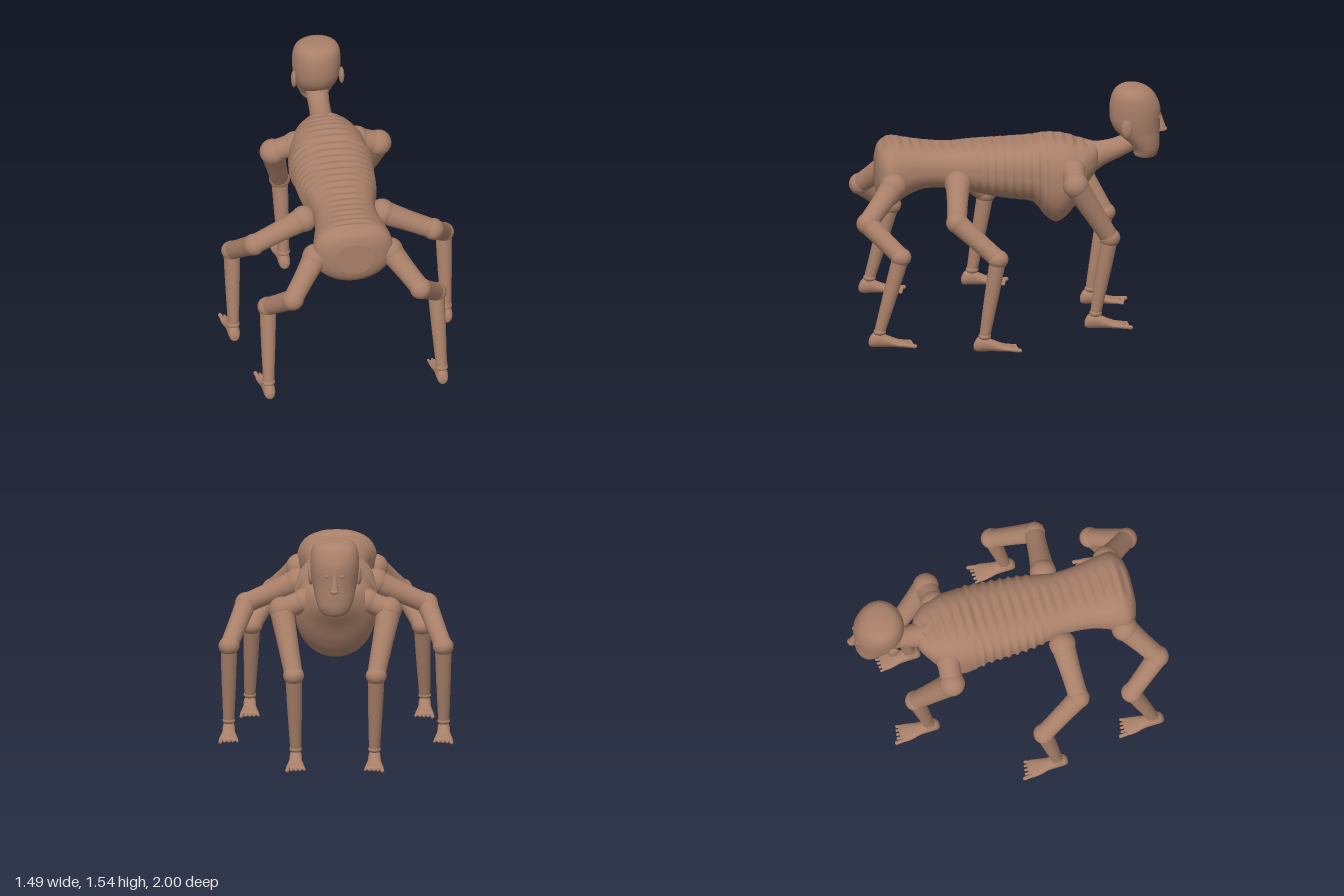
import * as THREE from 'three';

const skin = new THREE.MeshStandardMaterial({ color: 0xa98069 });
skin.name = 'skin';

function add(parent, name, geometry, x = 0, y = 0, z = 0) {
  const mesh = new THREE.Mesh(geometry, skin);
  mesh.name = name;
  mesh.position.set(x, y, z);
  parent.add(mesh);
  return mesh;
}

// Catmull-Rom blend of the rows at a fraction u of their length
function sample(rows, u) {
  const f = u * (rows.length - 1), i = Math.min(Math.floor(f), rows.length - 2), t = f - i;
  const at = k => rows[Math.max(0, Math.min(rows.length - 1, k))];
  return rows[i].map((_, c) => {
    const a = at(i - 1)[c], b = at(i)[c], d = at(i + 1)[c], e = at(i + 2)[c];
    return b + 0.5 * t * (d - a + t * (2 * a - 5 * b + 4 * d - e + t * (3 * (b - d) + e - a)));
  });
}

// Closed skin over rows of [t, low, high, halfWidth]; runs along +z, or down y when upright
function loft(rows, steps, sides, { upright = false, square = 1, bump = null } = {}) {
  const pos = [], index = [];
  for (let r = -1; r <= steps + 1; r++) {
    const [t, lo, hi, w] = sample(rows, Math.max(0, Math.min(steps, r)) / steps);
    const open = r < 0 || r > steps ? 0 : 1;
    for (let j = 0; j < sides; j++) {
      const a = j / sides * Math.PI * 2, s = Math.sin(a), c = Math.cos(a);
      const power = c > 0 ? square : 1;
      const [bx, by] = bump && open ? bump(t, s, c) : [0, 0];
      const x = open * Math.sign(s) * Math.pow(Math.abs(s), power) * w + bx;
      const h = (lo + hi) / 2 + open * Math.sign(c) * Math.pow(Math.abs(c), power) * (hi - lo) / 2 + by;
      if (upright) pos.push(x, t, h); else pos.push(x, h, t);
    }
  }
  for (let r = 0; r < steps + 2; r++) for (let j = 0; j < sides; j++) {
    const k = (j + 1) % sides, a = r * sides + j, b = a + sides, d = r * sides + k, e = d + sides;
    index.push(a, b, d, b, e, d);
  }
  const g = new THREE.BufferGeometry();
  g.setAttribute('position', new THREE.Float32BufferAttribute(pos, 3));
  g.setIndex(index);
  g.computeVertexNormals();
  return g;
}

// Tapered, slightly swollen limb between two points
function bone(parent, name, a, b, ra, rb, swell = 1) {
  const from = new THREE.Vector3(...a), dir = new THREE.Vector3(...b).sub(from), len = dir.length();
  const profile = [];
  for (let i = 0; i <= 10; i++) {
    const t = i / 10;
    const r = THREE.MathUtils.lerp(ra, rb, t) * (1 + (swell - 1) * Math.sin(t * Math.PI));
    profile.push(new THREE.Vector2(r, t * len));
  }
  const mesh = add(parent, name, new THREE.LatheGeometry(profile, 20), ...a);
  mesh.quaternion.setFromUnitVectors(new THREE.Vector3(0, 1, 0), dir.normalize());
}

function ball(parent, name, p, r, sx = 1, sy = 1, sz = 1) {
  const mesh = add(parent, name, new THREE.SphereGeometry(r, 20, 14), ...p);
  mesh.scale.set(sx, sy, sz);
  return mesh;
}

// Foot with its origin on the ground below the ankle, toes towards -z, big toe on the outside
function foot(parent, x, z, side) {
  const g = new THREE.Group();
  g.name = 'foot';
  g.position.set(x, 0, z);
  parent.add(g);
  add(g, 'sole', loft([
    [-0.19, 0.008, 0.025, 0.045], [-0.17, 0.003, 0.035, 0.06], [-0.12, 0, 0.045, 0.055],
    [-0.06, 0, 0.07, 0.042], [0, 0, 0.095, 0.04], [0.045, 0, 0.09, 0.036],
    [0.065, 0.008, 0.06, 0.025], [0.07, 0.02, 0.045, 0.01],
  ], 28, 20));
  for (let i = 0; i < 5; i++) {
    const r = i === 0 ? 0.013 : 0.009;
    const tip = i === 0 ? -0.235 : -0.222 + i * 0.004;
    const tx = side * (0.048 - i * 0.025);
    bone(g, 'toe', [tx * 0.9, 0.019, -0.16], [tx * 1.08, 0.015, tip + r], r, r);
    ball(g, 'toeTip', [tx * 1.08, 0.015, tip + r], r);
  }
}

function leg(parent, name, side, { hip, bend, knee, ankle, r }) {
  const g = new THREE.Group();
  g.name = name;
  parent.add(g);
  const m = p => [p[0] * side, p[1], p[2]];
  const [H, B, K, A] = [hip, bend, knee, ankle].map(m);
  ball(g, 'hipJoint', H, r[0]);
  bone(g, 'upperLimb', H, B, r[0] * 0.93, r[1] * 0.9, 0.94);
  ball(g, 'bendJoint', B, r[1]);
  bone(g, 'middleLimb', B, K, r[1] * 0.95, 0.058, 0.97);
  ball(g, 'kneeJoint', K, 0.067, 1, 0.9, 1);
  bone(g, 'shin', K, A, 0.053, 0.035, 1.04);
  ball(g, 'ankle', A, 0.041, 1, 0.6, 1);
  foot(g, A[0], A[2], side);
}

export function createModel() {
  const model = new THREE.Group();
  model.name = 'sixLeggedCreature';

  // Ribs ripple the flanks, vertebrae ripple the back
  const bump = (t, s, c) => {
    const fade = THREE.MathUtils.smoothstep(t, -0.25, -0.17) * (1 - THREE.MathUtils.smoothstep(t, 0.18, 0.3));
    const rib = 0.014 * fade * Math.pow(0.5 + 0.5 * Math.cos(t * Math.PI * 2 / 0.056), 2) * Math.abs(s);
    const spine = c > 0.9 ? 0.006 * Math.cos(t * Math.PI * 2 / 0.065) * (c - 0.9) * 10 : 0;
    return [Math.sign(s) * rib, spine - (c < 0 ? rib * 0.3 : 0)];
  };
  add(model, 'torso', loft([
    [-0.56, 1.02, 1.13, 0.06], [-0.54, 0.97, 1.15, 0.11], [-0.48, 0.88, 1.165, 0.18],
    [-0.42, 0.77, 1.18, 0.22], [-0.36, 0.69, 1.2, 0.245], [-0.29, 0.645, 1.21, 0.255],
    [-0.22, 0.69, 1.21, 0.255], [-0.14, 0.785, 1.195, 0.25], [0, 0.81, 1.185, 0.243],
    [0.12, 0.83, 1.18, 0.235], [0.25, 0.86, 1.175, 0.22], [0.4, 0.885, 1.165, 0.2],
    [0.55, 0.885, 1.175, 0.21], [0.66, 0.84, 1.19, 0.235], [0.75, 0.775, 1.205, 0.255],
    [0.8, 0.79, 1.19, 0.245], [0.84, 0.83, 1.155, 0.19], [0.86, 0.88, 1.1, 0.12],
  ], 220, 48, { square: 0.75, bump }));

  add(model, 'neck', loft([
    [-0.84, 1.14, 1.28, 0.07], [-0.76, 1.09, 1.23, 0.072], [-0.68, 1.05, 1.19, 0.068],
    [-0.6, 1.01, 1.17, 0.07], [-0.52, 0.96, 1.165, 0.08], [-0.42, 0.95, 1.175, 0.085],
    [-0.34, 1.0, 1.19, 0.06],
  ], 30, 28));

  // Head
  const head = new THREE.Group();
  head.name = 'head';
  model.add(head);
  add(head, 'skull', loft([
    [1.537, -0.79, -0.74, 0.04], [1.525, -0.86, -0.69, 0.105], [1.485, -0.915, -0.652, 0.142],
    [1.42, -0.948, -0.635, 0.154], [1.36, -0.958, -0.632, 0.154], [1.3, -0.955, -0.64, 0.149],
    [1.24, -0.953, -0.67, 0.138], [1.18, -0.952, -0.73, 0.125], [1.12, -0.947, -0.78, 0.106],
    [1.075, -0.93, -0.79, 0.08], [1.06, -0.9, -0.82, 0.04],
  ], 60, 40, { upright: true }));
  for (const side of [-1, 1]) {
    ball(head, 'ear', [0.153 * side, 1.29, -0.735], 0.06, 0.3, 1, 0.6);
    ball(head, 'eye', [0.048 * side, 1.335, -0.94], 0.016, 1.1, 0.8, 1);
  }
  bone(head, 'nose', [0, 1.235, -0.97], [0, 1.365, -0.945], 0.027, 0.009);
  ball(head, 'noseTip', [0, 1.242, -0.973], 0.027, 1, 0.6, 1);

  // Three mirrored pairs of legs
  const pairs = {
    foreLeg: { hip: [0.2, 1.035, -0.39], bend: [0.34, 0.98, -0.4], knee: [0.262, 0.605, -0.62], ankle: [0.25, 0.1, -0.53], r: [0.08, 0.083] },
    middleLeg: { hip: [0.25, 0.975, 0.345], bend: [0.575, 0.825, 0.37], knee: [0.68, 0.61, 0.115], ankle: [0.682, 0.1, 0.2], r: [0.085, 0.07] },
    hindLeg: { hip: [0.24, 0.965, 0.755], bend: [0.41, 0.775, 0.93], knee: [0.54, 0.59, 0.725], ankle: [0.555, 0.1, 0.86], r: [0.085, 0.07] },
  };
  for (const [name, spec] of Object.entries(pairs)) {
    for (const side of [-1, 1]) leg(model, name, side, spec);
  }
  return model;
}
